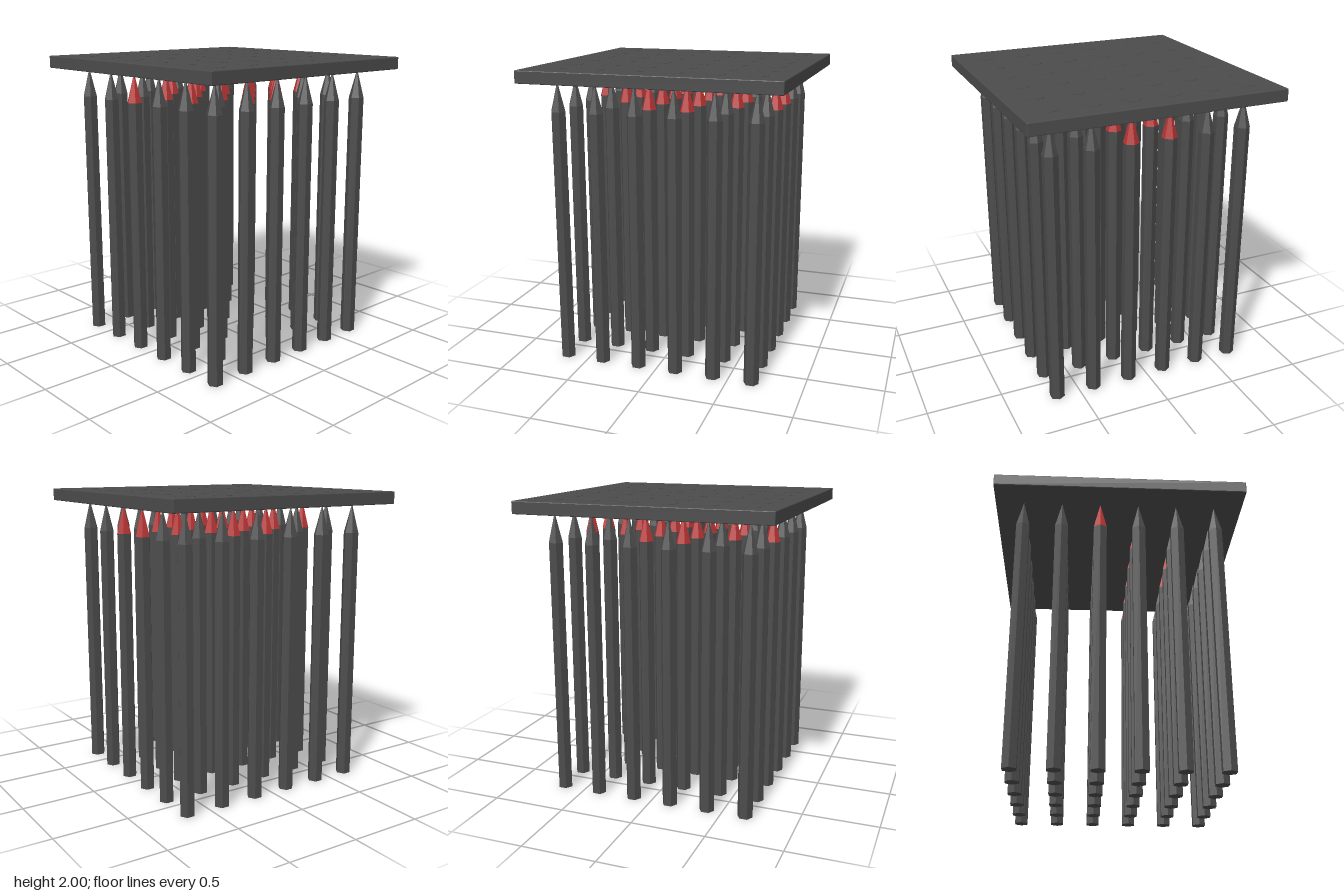
import * as THREE from 'three';
import { RoundedBoxGeometry } from 'three/addons/geometries/RoundedBoxGeometry.js';

export function createModel() {
  const model = new THREE.Group();
  model.name = 'spikeTrap';

  const iron = new THREE.MeshStandardMaterial({ color: 0x4c4c4c, flatShading: true });
  iron.name = 'dark iron';
  const red = new THREE.MeshStandardMaterial({ color: 0xb83434, flatShading: true });
  red.name = 'red';

  const count = 6, pitch = 0.263;
  const shaftTop = 1.72, plateBottom = 1.915, radius = 0.051;

  const add = (parent, name, geometry, material, y) => {
    const mesh = new THREE.Mesh(geometry, material);
    mesh.name = name;
    mesh.position.y = y;
    parent.add(mesh);
    return mesh;
  };

  // Square cover plate with slightly softened edges
  const plateHeight = 1.998 - plateBottom;
  add(model, 'plate', new RoundedBoxGeometry(1.708, plateHeight, 1.708, 1, 0.005),
    iron, plateBottom + plateHeight / 2);

  // Shared hexagonal spike parts, corners pointing along x
  const tipHeight = plateBottom - shaftTop;
  const shaftGeometry = new THREE.CylinderGeometry(radius, radius, shaftTop, 6).rotateY(Math.PI / 6);
  const tipGeometry = new THREE.ConeGeometry(radius, tipHeight, 6, 1, true).rotateY(Math.PI / 6);
  const discGeometry = new THREE.CylinderGeometry(0.063, 0.063, 0.004, 24);

  // Red tips per row, from back to front; columns run from -x to +x
  const redTips = ['......', '..RR..', 'RRRRRR', '.RRRRR', '..RR..', '......'];

  for (let row = 0; row < count; row++) {
    for (let col = 0; col < count; col++) {
      const spike = new THREE.Group();
      spike.name = 'spike';
      spike.position.set((col - 2.5) * pitch, 0, (row - 2.5) * pitch);
      add(spike, 'shaft', shaftGeometry, iron, shaftTop / 2);
      add(spike, 'tip', tipGeometry, redTips[row][col] === 'R' ? red : iron, shaftTop + tipHeight / 2);
      // Round hole cover set into the plate above the spike
      add(spike, 'holeCover', discGeometry, iron, 1.998);
      model.add(spike);
    }
  }
  return model;
}
